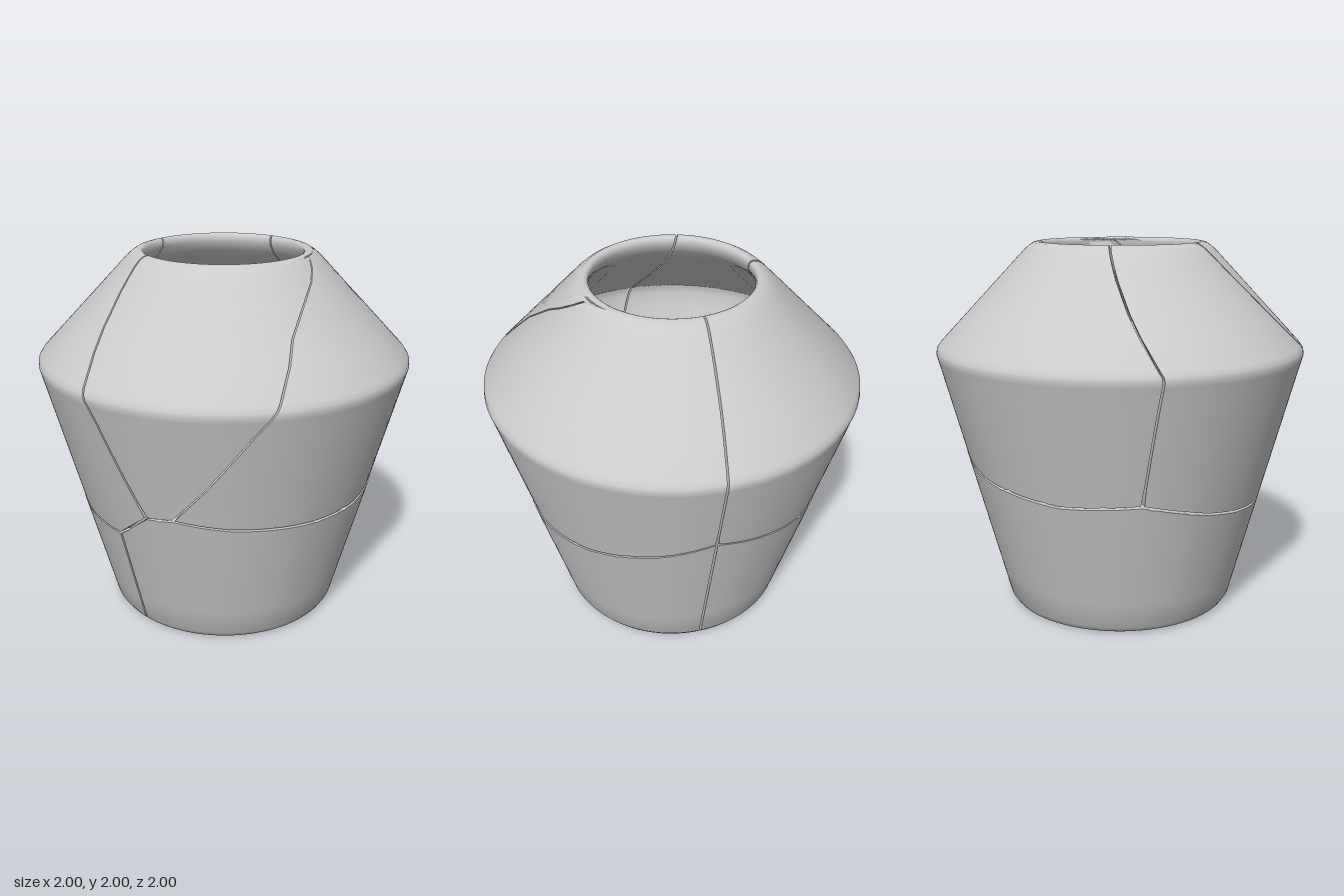
import * as THREE from 'three';
import { toCreasedNormals } from 'three/addons/utils/BufferGeometryUtils.js';

const { lerp, clamp, degToRad } = THREE.MathUtils;

// Piecewise linear lookup in a list of [input, output] pairs
function table(pairs, v) {
  if (v <= pairs[0][0]) return pairs[0][1];
  for (let i = 1; i < pairs.length; i++) {
    const [a, p] = pairs[i - 1], [b, q] = pairs[i];
    if (v <= b) return lerp(p, q, (v - a) / (b - a));
  }
  return pairs[pairs.length - 1][1];
}

// Jar profile: height -> radius, outside and inside
const OUTER = [[0, 0.595], [0.012, 0.618], [0.04, 0.637], [1.39, 0.993], [1.415, 1], [1.44, 0.997],
  [1.465, 0.98], [1.95, 0.523], [1.98, 0.49], [1.995, 0.465], [2, 0.445]];
const INNER = [[0.06, 0.54], [0.065, 0.555], [0.09, 0.57], [1.39, 0.93], [1.44, 0.925],
  [1.9, 0.45], [1.95, 0.422], [1.98, 0.42], [1.995, 0.428], [2, 0.438]];

// Crack running round the jar: angle -> height (angle 0 is the front, 90 is +x)
const GIRDLE = [[-180, 0.8], [-145, 0.75], [-116, 0.77], [-90, 0.68], [-75, 0.645], [-60, 0.625], [-45, 0.62],
  [-30, 0.785], [-19.5, 0.8], [0, 0.765], [30, 0.74], [53, 0.735], [90, 0.79], [119, 0.88], [135, 0.95],
  [160, 0.87], [180, 0.8]];
const girdle = (deg) => table(GIRDLE, deg > 180 ? deg - 360 : deg);

// Cracks from the girdle to the rim: height -> angle
const CRACKS = {
  frontLeft: [[0.8, -19.5], [1, -8.5], [1.2, 1], [1.43, 11.5], [1.7, 23], [1.84, 37], [1.98, 60], [2, 80]],
  frontRight: [[0.8, -30], [1.43, -43.8], [2, -63]],
  backLeft: [[0.8, 135], [1.43, 135], [2, 140]],
  backRight: [[0.8, 244], [1.43, 248], [2, 230]],
};

// Half width of a crack, with small chips along it
const gap = (v) => 0.005 + 0.012 * Math.max(0, Math.sin(v * 17) + Math.sin(v * 41) - 1.5);

function polar(deg, r, y) {
  const a = degToRad(deg);
  return new THREE.Vector3(r * Math.sin(a), y, r * Math.cos(a));
}

const material = new THREE.MeshStandardMaterial({ color: 0xcccccc });
const thinMaterial = new THREE.MeshStandardMaterial({ color: 0xcccccc, side: THREE.DoubleSide });

// Closed shard: each column is a loop up the outside and back down the inside
function shard(name, columns, column) {
  const loops = [];
  for (let i = 0; i <= columns; i++) loops.push(column(i / columns));
  const n = loops[0].length, pos = [];
  const quad = (a, b, c, d) => [a, b, c, a, c, d].forEach((p) => pos.push(p.x, p.y, p.z));
  for (let i = 0; i < columns; i++) {
    for (let k = 0; k < n; k++) {
      const m = (k + 1) % n;
      quad(loops[i][k], loops[i + 1][k], loops[i + 1][m], loops[i][m]);
    }
  }
  // broken edges at both ends
  const first = loops[0], last = loops[columns];
  for (let k = 0; k < n / 2 - 1; k++) {
    const j = n - 1 - k;
    quad(first[j], first[k], first[k + 1], first[j - 1]);
    quad(last[k], last[j], last[j - 1], last[k + 1]);
  }
  const geometry = new THREE.BufferGeometry();
  geometry.setAttribute('position', new THREE.Float32BufferAttribute(pos, 3));
  const mesh = new THREE.Mesh(toCreasedNormals(geometry, 0.7), material);
  mesh.name = name;
  return mesh;
}

// Shard between two rising cracks, from the girdle to the rim
const LEVELS = [0.8, 0.9, 1, 1.1, 1.2, 1.3, 1.39, 1.415, 1.44, 1.465, 1.6, 1.7, 1.84, 1.9, 1.95, 1.98, 1.995, 2];
function upperShard(name, from, to, turn = 0) {
  const span = Math.abs(table(to, 1.4) + turn - table(from, 1.4));
  return shard(name, Math.ceil(span / 1.5), (s) => {
    const at = (level, profile) => {
      const open = THREE.MathUtils.radToDeg(gap(level) / table(OUTER, level));
      const deg = lerp(table(from, level) + open, table(to, level) + turn - open, s);
      const low = clamp((1.3 - level) / 0.5, 0, 1);
      const y = level + (girdle(deg) - 0.8 + gap(deg / 20)) * low;
      return polar(deg, table(profile, y), y);
    };
    return [...LEVELS.map((l) => at(l, OUTER)), ...LEVELS.map((l) => at(l, INNER)).reverse()];
  });
}

// Half of the base, below the girdle
function lowerShard(name, start, side) {
  const mesh = shard(name, 120, (s) => {
    const deg = start + 180 * s, top = girdle(deg) - gap(deg / 20 + 1);
    const rise = [0.25, 0.5, 0.75, 1].map((f) => f * top);
    return [
      polar(deg, 0, 0),
      ...[0, 0.012, 0.04, ...rise].map((y) => polar(deg, table(OUTER, y), y)),
      ...[0.06, 0.065, 0.09, ...rise].map((y) => polar(deg, table(INNER, y), y)).reverse(),
      polar(deg, 0, 0.06),
    ];
  });
  mesh.position.set(side * 0.004, 0, side * 0.004);
  return mesh;
}

// Thick wedge inside the left shard, along the front left crack
function innerWedge() {
  const steps = 24, pos = [], index = [];
  const a = new THREE.Vector3(0.415, 1.97, 0.06), b = new THREE.Vector3(-0.12, 1, 0.78);
  for (let i = 0; i <= steps; i++) {
    const t = i / steps, y = lerp(1.98, 1, t), deg = table(CRACKS.frontLeft, y);
    const chord = a.clone().lerp(b, t);
    const r = table(INNER, y) + 0.01;
    const under = polar(deg + 25 * Math.sin(Math.PI * t), r, y);
    [polar(deg, r, y), chord, chord, under].forEach((p) => pos.push(p.x, p.y, p.z));
    if (i < steps) {
      for (const k of [4 * i, 4 * i + 2]) index.push(k, k + 1, k + 5, k, k + 5, k + 4);
    }
  }
  const geometry = new THREE.BufferGeometry();
  geometry.setAttribute('position', new THREE.Float32BufferAttribute(pos, 3));
  geometry.setIndex(index);
  geometry.computeVertexNormals();
  const mesh = new THREE.Mesh(geometry, thinMaterial);
  mesh.name = 'innerWedge';
  return mesh;
}

export function createModel() {
  const jar = new THREE.Group();
  jar.name = 'brokenJar';
  jar.add(
    upperShard('frontShard', CRACKS.frontRight, CRACKS.frontLeft),
    upperShard('leftShard', CRACKS.frontLeft, CRACKS.backLeft),
    upperShard('backShard', CRACKS.backLeft, CRACKS.backRight),
    upperShard('rightShard', CRACKS.backRight, CRACKS.frontRight, 360),
    lowerShard('frontBaseShard', -45, 1),
    lowerShard('backBaseShard', 135, -1),
    innerWedge(),
  );
  return jar;
}
